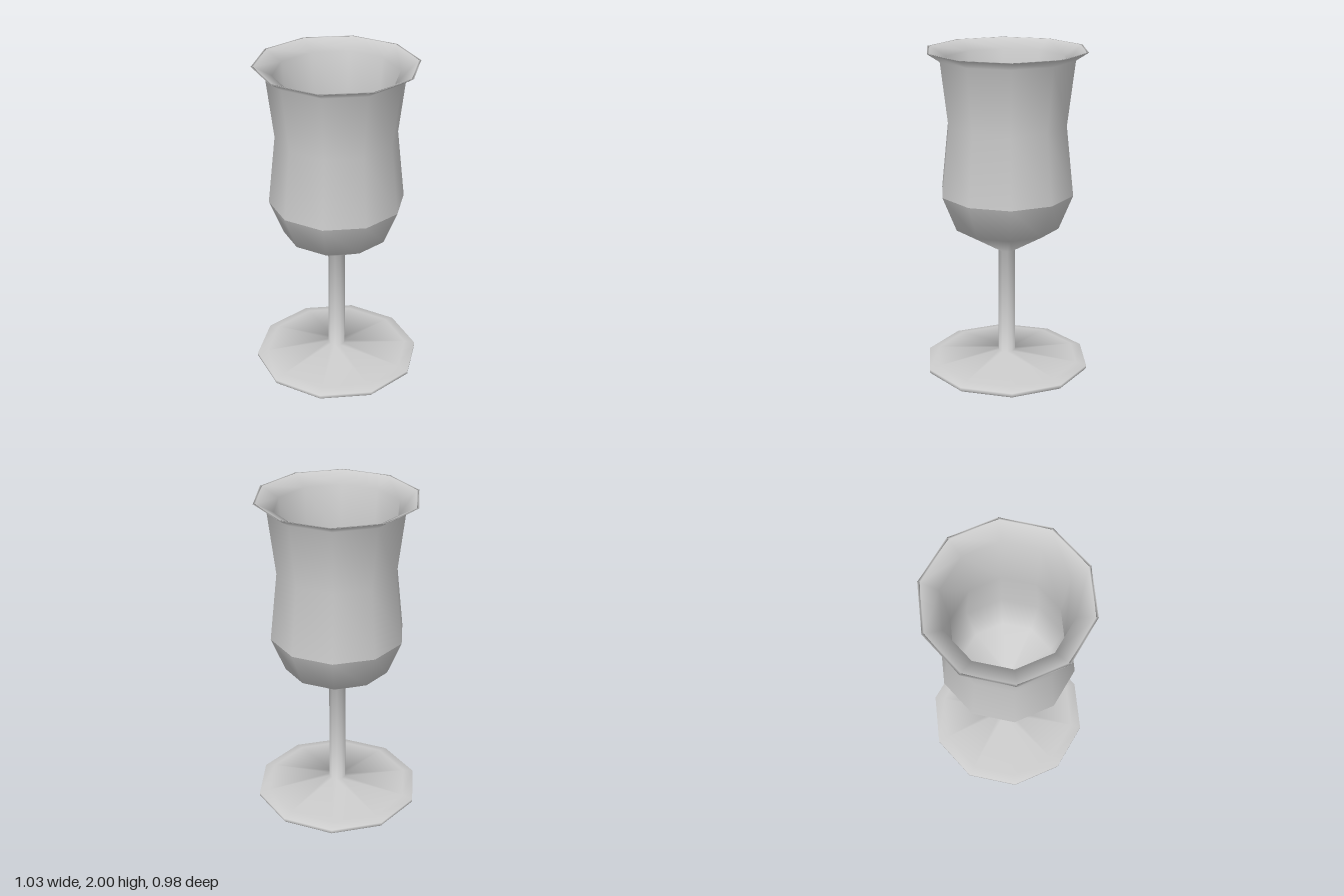
import * as THREE from 'three';

const SIDES = 10;

export function createModel() {
  const model = new THREE.Group();
  model.name = 'goblet';
  const material = new THREE.MeshStandardMaterial({ color: 0xcccccc });

  // Each band is one smooth stretch of the turned profile, as [radius, height];
  // edges between bands stay sharp. One corner points along +x.
  const addBand = (name, profile) => {
    const points = profile.map(([r, y]) => new THREE.Vector2(r, y));
    const mesh = new THREE.Mesh(new THREE.LatheGeometry(points, SIDES, Math.PI / 2), material);
    mesh.name = name;
    model.add(mesh);
  };

  // Flat underside of the foot
  addBand('footUnderside', [[0, 0], [0.508, 0]]);

  // Foot rim and shallow cone, stem, and the cup bottom flowing out of it
  addBand('footStemAndCupBottom', [
    [0.508, 0], [0.516, 0.01], [0.516, 0.028], [0.45, 0.044],
    [0.053, 0.085], [0.053, 0.76],
    [0.325, 0.92], [0.412, 1.135],
  ]);

  // Waisted wall, flared lip, then the inside down to a rounded centre
  addBand('bowlWallLipAndInside', [
    [0.412, 1.135], [0.366, 1.56], [0.413, 1.95],
    [0.489, 2], [0.475, 2],
    [0.372, 1.943], [0.331, 1.56], [0.374, 1.145],
    [0.295, 0.945], [0.04, 0.795], [0, 0.795],
  ]);

  return model;
}
